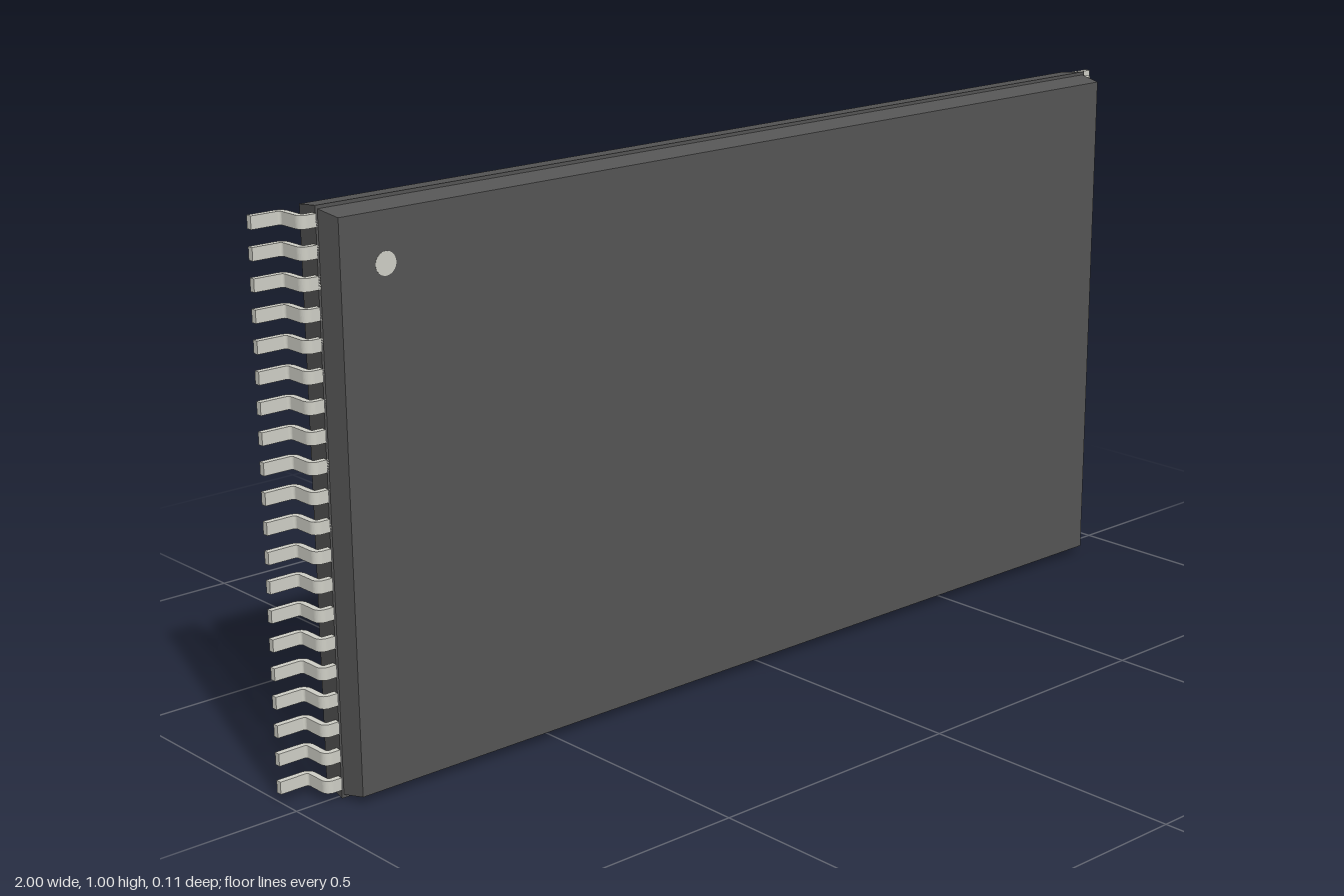
import * as THREE from 'three';

const bodyMat = new THREE.MeshStandardMaterial({ color: 0x555555 });
const leadMat = new THREE.MeshStandardMaterial({ color: 0xcfcfc6 });

// Tapered slab: half sizes [hx, hy] at the back (z0) and at the front (z1)
function taperedSlab(name, z0, back, z1, front) {
  const geo = new THREE.BoxGeometry(2, 2, 2);
  const p = geo.attributes.position;
  for (let i = 0; i < p.count; i++) {
    const isFront = p.getZ(i) > 0;
    const [hx, hy] = isFront ? front : back;
    p.setXYZ(i, p.getX(i) * hx, 0.5 + p.getY(i) * hy, isFront ? z1 : z0);
  }
  geo.computeVertexNormals();
  const mesh = new THREE.Mesh(geo, bodyMat);
  mesh.name = name;
  return mesh;
}

// Gull-wing lead: side profile in x/z, extruded along y
function leadGeometry() {
  const width = 0.022, q = Math.PI / 2;
  const s = new THREE.Shape();
  s.moveTo(0.9, 0.01);
  s.lineTo(0.932, 0.01);
  s.absarc(0.932, -0.004, 0.014, q, 0, true);
  s.lineTo(0.946, -0.039);
  s.absarc(0.951, -0.039, 0.005, Math.PI, 1.5 * Math.PI, false);
  s.lineTo(1, -0.044);
  s.lineTo(1, -0.055);
  s.lineTo(0.951, -0.055);
  s.absarc(0.951, -0.039, 0.016, 1.5 * Math.PI, Math.PI, true);
  s.lineTo(0.935, -0.004);
  s.absarc(0.932, -0.004, 0.003, 0, q, false);
  s.lineTo(0.9, -0.001);
  s.closePath();
  const geo = new THREE.ExtrudeGeometry(s, { depth: width, bevelEnabled: false, curveSegments: 5 });
  geo.translate(0, 0, -width / 2);
  geo.rotateX(q); // profile y becomes z, depth becomes -y
  return geo;
}

export function createModel() {
  const model = new THREE.Group();
  model.name = 'chipPackage';

  // Moulded body: the front half sits slightly inside the back half at the seam
  model.add(taperedSlab('bodyBack', -0.044, [0.91, 0.493], 0.01, [0.917, 0.5]));
  model.add(taperedSlab('bodyFront', 0.01, [0.913, 0.494], 0.055, [0.906, 0.486]));

  // Orientation dot
  const dot = new THREE.Mesh(new THREE.CylinderGeometry(0.02, 0.02, 0.002, 32), leadMat);
  dot.name = 'orientationDot';
  dot.rotation.x = Math.PI / 2;
  dot.position.set(-0.82, 0.9, 0.0545);
  model.add(dot);

  // Twenty leads on each side
  const geo = leadGeometry();
  for (const [name, turn] of [['leftLeads', 0], ['rightLeads', Math.PI]]) {
    const row = new THREE.Group();
    row.name = name;
    for (let i = 0; i < 20; i++) {
      const lead = new THREE.Mesh(geo, leadMat);
      lead.name = 'lead';
      lead.position.y = 0.026 + i * 0.05;
      lead.rotation.z = turn;
      row.add(lead);
    }
    model.add(row);
  }
  return model;
}
